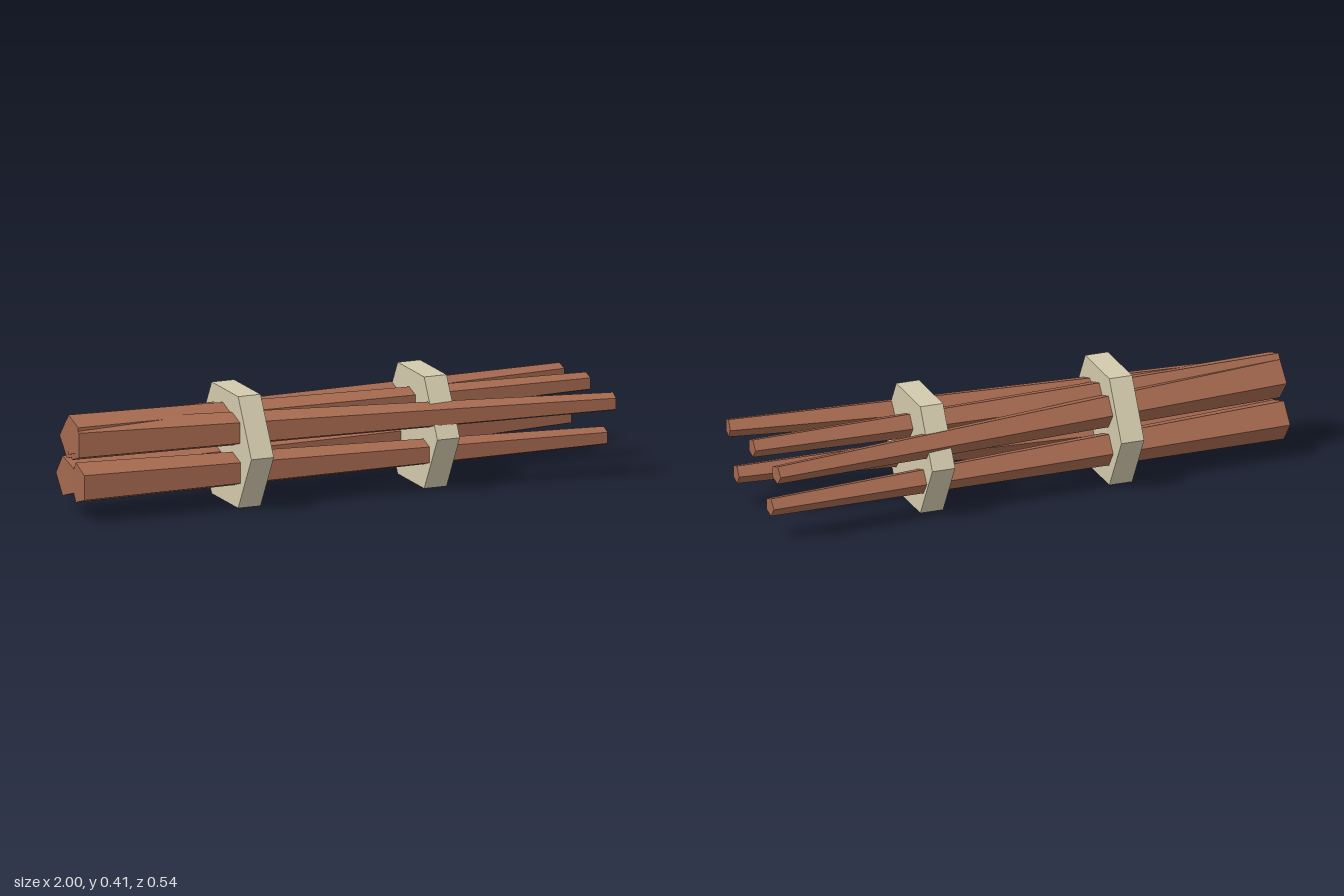
import * as THREE from 'three';

export function createModel() {
  const model = new THREE.Group();
  const wood = new THREE.MeshStandardMaterial({ color: 0xa5694f, flatShading: true });
  const cord = new THREE.MeshStandardMaterial({ color: 0xd2caac, flatShading: true });

  // Tapered five-sided sticks fanning out toward +x: [name, y, z at thick end, z at thin end]
  const sticks = [
    ['topStick', 0.296, -0.007, -0.007],
    ['upperFrontStick', 0.279, 0.005, 0.241],
    ['upperBackStick', 0.279, -0.025, -0.235],
    ['lowerFrontStick', 0.134, 0.05, 0.154],
    ['lowerBackStick', 0.134, -0.062, -0.176],
  ];
  for (const [name, y, z0, z1] of sticks) {
    const dz = z1 - z0;
    const length = Math.hypot(2 - Math.abs(dz) * 0.04, dz);
    const geometry = new THREE.CylinderGeometry(0.035, 0.077, length, 5, 1, false, Math.PI);
    geometry.rotateZ(-Math.PI / 2);
    const stick = new THREE.Mesh(geometry, wood);
    stick.name = name;
    stick.position.set(0, y, (z0 + z1) / 2);
    stick.rotation.y = -Math.atan2(dz, 2);
    model.add(stick);
  }

  // Two hexagonal bindings around the bundle
  const bandGeometry = new THREE.CylinderGeometry(0.236, 0.236, 0.087, 6);
  bandGeometry.rotateZ(-Math.PI / 2);
  for (const [name, x] of [['thickEndBinding', -0.361], ['thinEndBinding', 0.36]]) {
    const band = new THREE.Mesh(bandGeometry, cord);
    band.name = name;
    band.position.set(x, 0.2044, -0.007);
    model.add(band);
  }
  return model;
}
